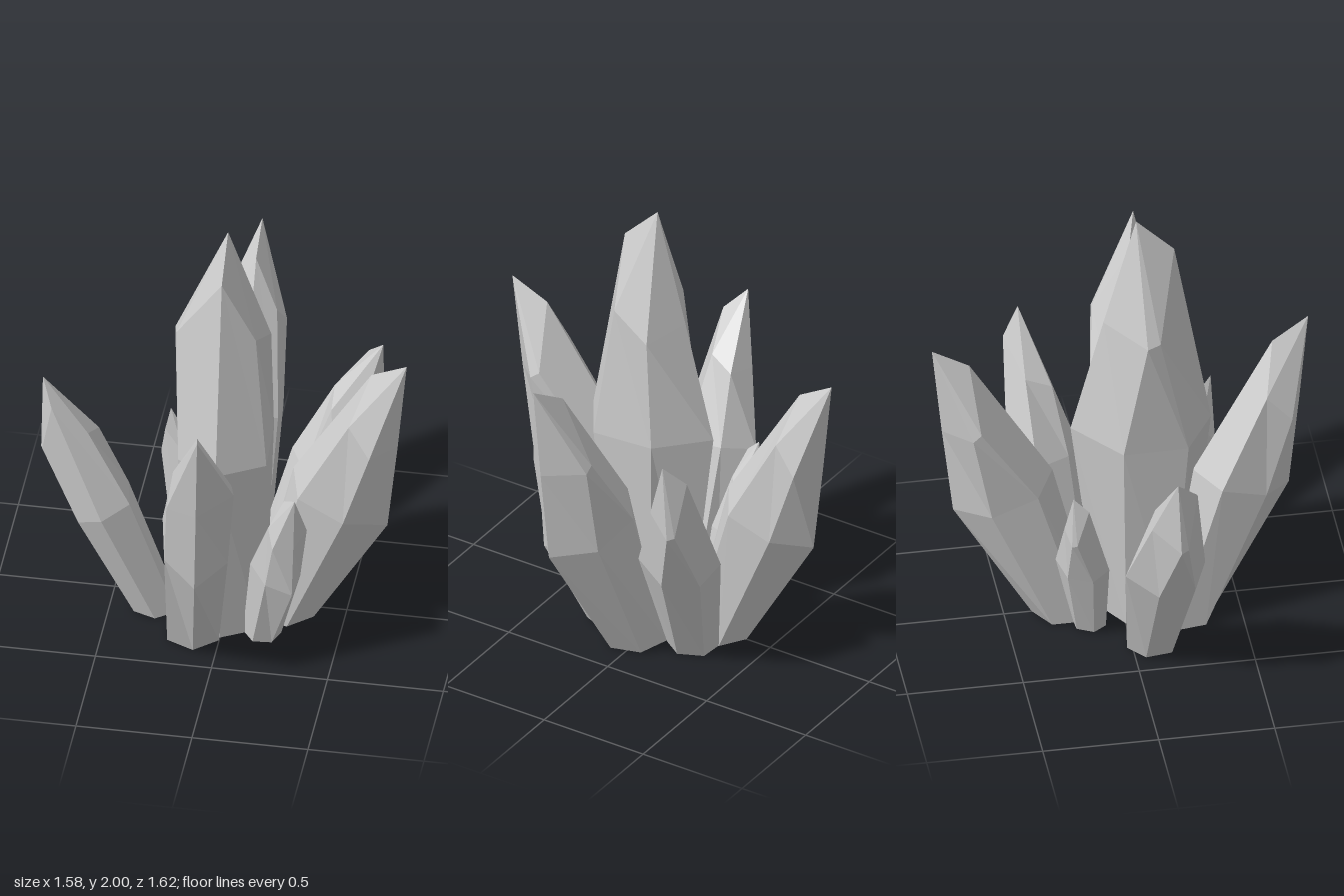
import * as THREE from 'three';

// Upright crystal template, 1.42 tall. Points are [sideways, up, outward];
// columns run: outer, right outer, right inner, inner, left inner, left outer.
const HEIGHT = 1.42;
const TIP = [0, HEIGHT, 0.06];
const FOOT_RING = [[0, 0, 0.14], [0.11, 0, 0.07], [0.11, 0, -0.07], [0, 0, -0.13], [-0.11, 0, -0.07], [-0.11, 0, 0.07]];
const WIDEST_RING = [[0, 0.665, 0.24], [0.13, 0.66, 0.1], [0.14, 0.66, -0.1], [0, 0.67, -0.19], [-0.13, 0.65, -0.1], [-0.14, 0.65, 0.1]];
const SHOULDER_RING = [[0, 1.05, 0.15], [0.125, 1.02, 0.09], [0.1, 1.09, -0.04], [0, 1.305, -0.06], [-0.15, 1.06, 0], [-0.16, 1.05, 0.04]];

const material = new THREE.MeshStandardMaterial({ color: 0xcccccc, flatShading: true, side: THREE.DoubleSide });

// foot: [x, z], tip: [x, y, z], facing: [x, z] direction of the outer column
function crystal({ name, foot, tip, facing }) {
  const scale = tip[1] / HEIGHT;
  const out = new THREE.Vector2(...facing).normalize();

  // turn a template point towards its facing and scale it
  const turn = ([u, , w]) => [scale * (w * out.x - u * out.y), scale * (w * out.y + u * out.x)];
  const tipOffset = turn(TIP);
  const lean = [tip[0] - foot[0] - tipOffset[0], tip[2] - foot[1] - tipOffset[1]];

  // leaning lowers the outer side of a ring and raises the inner side
  const place = (p, tilted) => {
    const t = p[1] / HEIGHT;
    const [x, z] = turn(p);
    const drop = tilted ? (x * lean[0] + z * lean[1]) / tip[1] : 0;
    return [foot[0] + x + lean[0] * t, tip[1] * t - drop, foot[1] + z + lean[1] * t];
  };

  const rings = [
    FOOT_RING.map((p) => place(p, false)),
    WIDEST_RING.map((p) => place(p, true)),
    SHOULDER_RING.map((p) => place(p, true)),
  ];
  const positions = [];
  const triangle = (...corners) => corners.forEach((c) => positions.push(...c));

  // sides and point, open underneath
  for (let i = 0; i < 6; i++) {
    const j = (i + 1) % 6;
    for (let r = 0; r < rings.length - 1; r++) {
      const low = rings[r];
      const high = rings[r + 1];
      triangle(low[i], high[i], high[j]);
      triangle(low[i], high[j], low[j]);
    }
    triangle(rings[2][i], tip, rings[2][j]);
  }

  const geometry = new THREE.BufferGeometry();
  geometry.setAttribute('position', new THREE.Float32BufferAttribute(positions, 3));
  geometry.computeVertexNormals();
  const mesh = new THREE.Mesh(geometry, material);
  mesh.name = name;
  return mesh;
}

const CRYSTALS = [
  { name: 'centralCrystal', foot: [0, 0.1], tip: [0, 2, 0.07], facing: [0, -1] },
  { name: 'backCrystal', foot: [0, -0.24], tip: [0, 1.42, -0.81], facing: [0, -1] },
  { name: 'frontCrystal', foot: [-0.12, 0.25], tip: [-0.01, 1.42, 0.81], facing: [0.15, 1] },
  { name: 'rightCrystal', foot: [0.23, 0.03], tip: [0.79, 1.47, 0.19], facing: [0.96, 0.28] },
  { name: 'leftCrystal', foot: [-0.31, 0.09], tip: [-0.79, 1.17, 0.12], facing: [-0.14, -0.99] },
  { name: 'backRightCrystal', foot: [0.15, -0.21], tip: [0.6, 1.17, -0.34], facing: [0.4, 0.9] },
  { name: 'smallFrontCrystal', foot: [0.17, 0.21], tip: [0.35, 0.89, 0.45], facing: [0.6, 0.8] },
  { name: 'smallBackCrystal', foot: [-0.12, -0.15], tip: [-0.3, 0.79, -0.25], facing: [0.45, -0.9] },
];

export function createModel() {
  const group = new THREE.Group();
  group.name = 'crystalCluster';
  CRYSTALS.forEach((spec) => group.add(crystal(spec)));
  return group;
}
